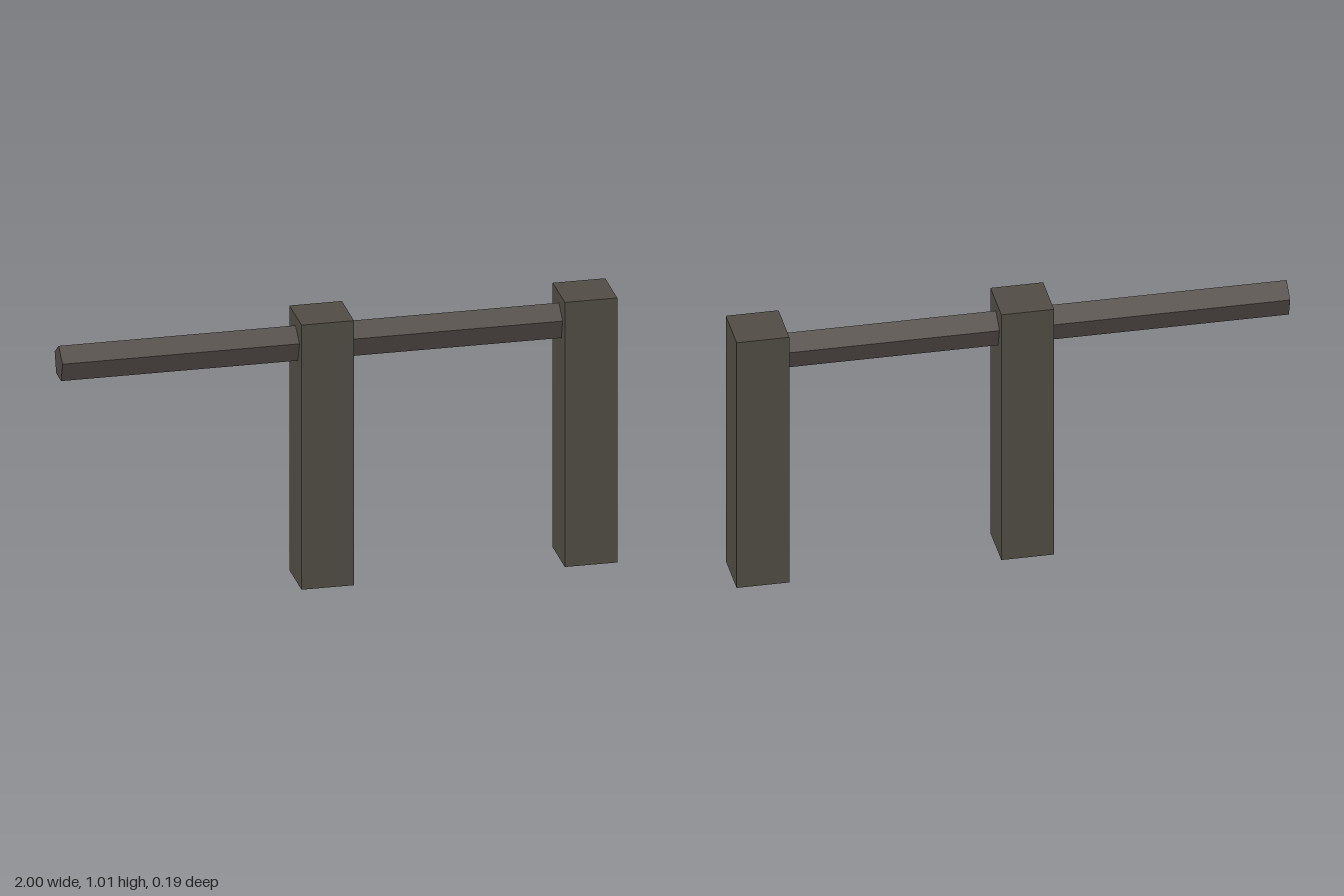
import * as THREE from 'three';

export function createModel() {
  const model = new THREE.Group();
  model.name = 'fenceSection';

  const postMaterial = new THREE.MeshStandardMaterial({ color: 0x504b44 });
  postMaterial.name = 'dark post wood';
  const railMaterial = new THREE.MeshStandardMaterial({ color: 0x524b47 });
  railMaterial.name = 'dark rail wood';

  // Square posts
  const postWidth = 0.19, postHeight = 1.006;
  const postGeometry = new THREE.BoxGeometry(postWidth, postHeight, postWidth);
  for (const [name, x] of [['middlePost', -0.048], ['endPost', 0.905]]) {
    const post = new THREE.Mesh(postGeometry, postMaterial);
    post.name = name;
    post.position.set(x, postHeight / 2, 0);
    model.add(post);
  }

  // Five-sided rails with a ridge on top: one between the posts, one running free
  const radius = 0.0657;
  for (const [name, x0, x1] of [['freeRail', -1, -0.048], ['spanRail', -0.048, 0.905]]) {
    const geometry = new THREE.CylinderGeometry(radius, radius, x1 - x0, 5).toNonIndexed();
    geometry.rotateX(-Math.PI / 2).rotateY(Math.PI / 2);
    geometry.computeVertexNormals(); // flat faces
    const rail = new THREE.Mesh(geometry, railMaterial);
    rail.name = name;
    rail.position.set((x0 + x1) / 2, 0.902, 0);
    model.add(rail);
  }

  return model;
}
